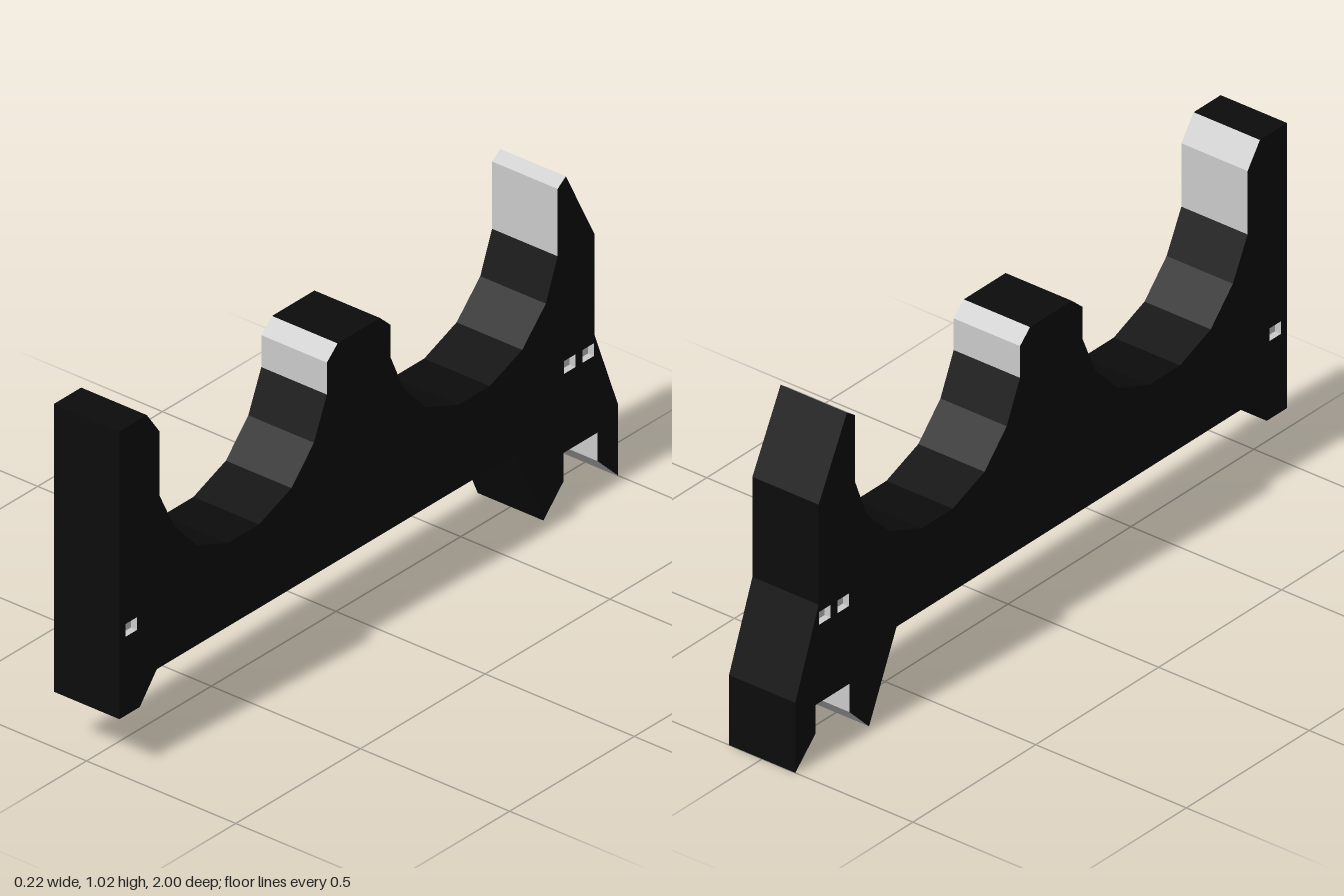
import * as THREE from 'three';

const HALF = 0.11;    // half thickness of the plate
const DEPTH = 0.02;   // depth of the small side recesses

// Outline as [z, y, grey]; grey marks the edge face that starts at that point
const OUTLINE = [
  [1, 1.02], [0.89, 1.02, 1], [0.84, 0.95, 1], [0.84, 0.76],
  [0.78, 0.64], [0.69, 0.545], [0.565, 0.495], [0.44, 0.495], [0.31, 0.545], [0.22, 0.64],
  [0.168, 0.76, 1], [0.168, 0.855, 1], [0.125, 0.893], [-0.045, 0.893, 1], [-0.086, 0.855, 1], [-0.086, 0.76],
  [-0.14, 0.64], [-0.23, 0.545], [-0.36, 0.495], [-0.485, 0.495], [-0.615, 0.545], [-0.71, 0.64],
  [-0.757, 0.76, 1], [-0.757, 0.96, 1], [-0.79, 0.983], [-0.905, 0.76], [-0.905, 0.46], [-1, 0.21],
  [-1, 0, 1], [-0.917, 0.08, 1], [-0.917, 0.165], [-0.78, 0.165, 1], [-0.78, 0.08, 1], [-0.7, 0],
  [-0.588, 0.247], [0.85, 0.247], [0.918, 0.165], [1, 0.165],
];

// Recess centres along z
const SLOTS = [0.952, -0.805, -0.88];
const SLOT_Y = 0.418, SLOT_W = 0.046, SLOT_H = 0.038;

// Corners of a recess, running so that its walls face inward
function slotCorners(z) {
  const w = SLOT_W / 2, h = SLOT_H / 2;
  return [[z + w, SLOT_Y - h], [z - w, SLOT_Y - h], [z - w, SLOT_Y + h], [z + w, SLOT_Y + h]];
}

// Flat quads across x for a list of edges [a, b]
function strips(edges, x0, x1) {
  const pos = [];
  for (const [a, b] of edges) {
    const q = [[x1, a[1], a[0]], [x1, b[1], b[0]], [x0, b[1], b[0]], [x0, a[1], a[0]]];
    for (const i of [0, 1, 2, 0, 2, 3]) pos.push(...q[i]);
  }
  const g = new THREE.BufferGeometry();
  g.setAttribute('position', new THREE.Float32BufferAttribute(pos, 3));
  g.computeVertexNormals();
  return g;
}

const loopEdges = (pts) => pts.map((p, i) => [p, pts[(i + 1) % pts.length]]);

export function createModel() {
  const group = new THREE.Group();
  const black = new THREE.MeshStandardMaterial({ color: 0x0c0c0c, flatShading: true });
  const grey = new THREE.MeshStandardMaterial({ color: 0xcccccc, flatShading: true });
  const add = (name, geometry, material) => {
    const mesh = new THREE.Mesh(geometry, material);
    mesh.name = name;
    group.add(mesh);
    return mesh;
  };

  // Rim of the plate, split into black and grey faces
  const edges = loopEdges(OUTLINE);
  add('plateRim', strips(edges.filter(([a]) => !a[2]), -HALF, HALF), black);
  add('greyEdgeFaces', strips(edges.filter(([a]) => a[2]), -HALF, HALF), grey);

  for (const side of [1, -1]) {
    const label = side > 0 ? 'left' : 'right';
    const toVec = ([z, y]) => new THREE.Vector2(-side * z, y);

    // Side face with openings for the recesses
    const shape = new THREE.Shape(OUTLINE.map(toVec));
    for (const z of SLOTS) shape.holes.push(new THREE.Path(slotCorners(z).map(toVec)));
    const face = new THREE.ShapeGeometry(shape);
    face.rotateY(side * Math.PI / 2);
    face.translate(side * HALF, 0, 0);
    add(label + 'Face', face, black);

    // Shallow recesses: four walls and a floor
    const inner = side * (HALF - DEPTH), outer = side * HALF;
    for (const z of SLOTS) {
      const walls = strips(loopEdges(slotCorners(z)), Math.min(inner, outer), Math.max(inner, outer));
      add(label + 'RecessWalls', walls, grey);
      const floor = new THREE.PlaneGeometry(SLOT_W, SLOT_H);
      floor.rotateY(side * Math.PI / 2);
      floor.translate(inner, SLOT_Y, z);
      add(label + 'RecessFloor', floor, grey);
    }
  }
  return group;
}
